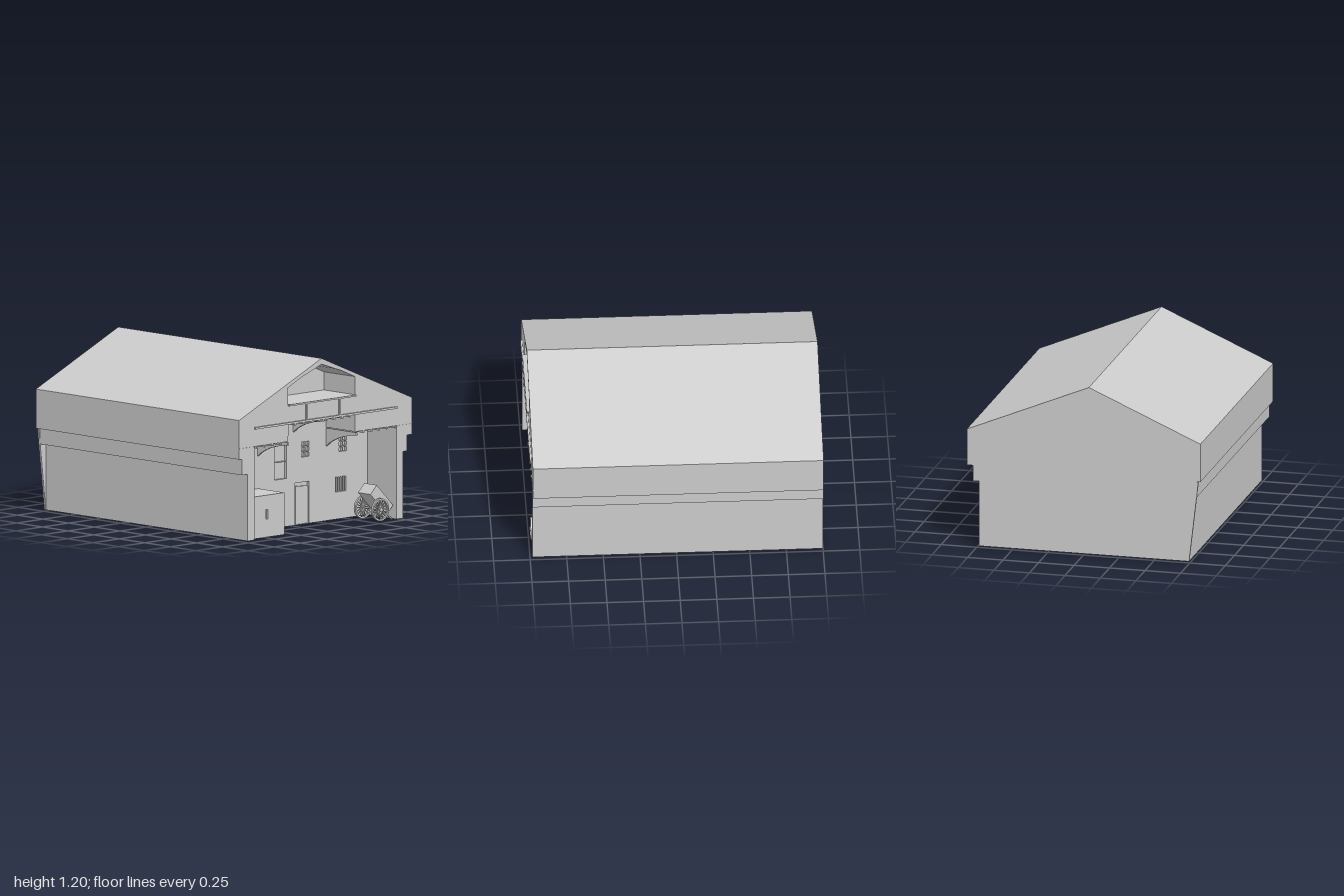
import * as THREE from 'three';

const mat = new THREE.MeshStandardMaterial({ color: 0xcccccc, side: THREE.DoubleSide });

const WALL = 0.70;   // front of the recessed wall
const FRONT = 0.985; // front of the gable facade
const BASE = 0.015;

export function createModel() {
  const model = new THREE.Group();

  function add(name, geo, parent = model) {
    const m = new THREE.Mesh(geo, mat);
    m.name = name;
    parent.add(m);
    return m;
  }
  // Box given by its extents
  function box(name, x0, x1, y0, y1, z0, z1, parent = model) {
    const m = add(name, new THREE.BoxGeometry(x1 - x0, y1 - y0, z1 - z0), parent);
    m.position.set((x0 + x1) / 2, (y0 + y1) / 2, (z0 + z1) / 2);
    return m;
  }
  const pts = (list) => list.map(([x, y]) => new THREE.Vector2(x, y));
  const rect = (x0, x1, y0, y1) => [[x0, y0], [x1, y0], [x1, y1], [x0, y1]];
  // Outline in x/y extruded from z0 to z1, with holes
  function slab(name, outline, z0, z1, holes = []) {
    const shape = new THREE.Shape(pts(outline));
    holes.forEach((h) => shape.holes.push(new THREE.Path(pts(h))));
    const geo = new THREE.ExtrudeGeometry(shape, { depth: z1 - z0, bevelEnabled: false });
    geo.translate(0, 0, z0);
    return add(name, geo);
  }

  // Main hall: stepped side walls under a gable roof
  const upper = [
    [0.735, BASE], [0.735, 0.475], [0.775, 0.475], [0.775, 0.585], [0.82, 0.585], [0.82, 0.84],
    [-0.04, 1.2], [-0.825, 0.855], [-0.825, 0.585], [-0.8, 0.585], [-0.8, 0.475], [-0.745, 0.475], [-0.745, BASE],
  ];
  slab('hall', upper, -1, 0.68);
  slab('rearWallFlare', [[-0.745, BASE], [-0.745, 0.58], [-0.81, 0.58]], -1, -0.985);

  // Front facade: stepped porch opening and gable loft recess
  const opening = [
    [-0.68, BASE], [-0.68, 0.66], [-0.36, 0.66], [-0.36, 0.695], [-0.35, 0.705], [-0.35, 0.78],
    [0.28, 0.78], [0.28, 0.66], [0.675, 0.66], [0.675, BASE],
  ];
  const loft = [[-0.36, 0.915], [0.28, 0.915], [0.28, 1.04], [0.14, 1.1], [0.09, 1.115],
    [-0.04, 1.16], [-0.17, 1.11], [-0.22, 1.095], [-0.36, 1.03]];
  slab('facade', [...upper, ...opening], 0.68, FRONT, [loft]);

  // Recessed wall with sunk windows, vent and door
  const holes = [];
  function panes(x0, x1, y0, y1, cols, rows, gap) {
    const w = (x1 - x0 - gap * (cols - 1)) / cols;
    const h = (y1 - y0 - gap * (rows - 1)) / rows;
    for (let c = 0; c < cols; c++) {
      for (let r = 0; r < rows; r++) {
        const x = x0 + c * (w + gap), y = y0 + r * (h + gap);
        holes.push(rect(x, x + w, y, y + h));
      }
    }
  }
  for (const x of [-0.508, 0.046, 0.404]) panes(x, x + 0.073, 0.478, 0.582, 2, 3, 0.008);
  panes(-0.212, -0.097, 0.347, 0.583, 1, 2, 0.004);
  panes(0.37, 0.473, 0.202, 0.305, 5, 1, 0.008);
  holes.push(rect(-0.015, 0.12, BASE + 0.002, 0.305));
  slab('porchWall', [[-0.68, BASE], [0.675, BASE], [0.675, 0.66], [0.28, 0.66], [0.28, 0.78],
    [-0.35, 0.78], [-0.35, 0.66], [-0.68, 0.66]], 0.68, WALL, holes);
  slab('door', [[0, BASE], [0.12, BASE], [0.12, 0.27], [0.1, 0.276], [0, 0.28]], 0.68, 0.69);

  // Shed in the corner of the porch, with a slot in its front
  slab('shed', rect(-0.68, -0.36, BASE, 0.305), WALL, 0.95, [rect(-0.535, -0.518, 0.14, 0.205)]);
  box('shedSlotBack', -0.54, -0.51, 0.135, 0.21, 0.92, 0.935);

  // Joists under the porch ceilings
  function joists(x0, count, y) {
    for (let i = 0; i < count; i++) {
      const x = x0 + i * 0.0745;
      box('joist', x - 0.007, x + 0.007, y - 0.014, y, WALL, 0.992);
    }
  }
  joists(-0.66, 4, 0.66);
  joists(-0.293, 8, 0.78);
  joists(0.355, 5, 0.66);

  // Diagonal braces from wall to facade
  for (const [x, y] of [[-0.367, 0.53], [-0.027, 0.66], [0.287, 0.53]]) {
    const s = new THREE.Shape();
    s.moveTo(WALL, y);
    s.quadraticCurveTo(0.8, y + 0.085, 0.995, y + 0.105);
    s.lineTo(0.995, y + 0.125);
    s.lineTo(WALL, y + 0.125);
    const geo = new THREE.ExtrudeGeometry(s, { depth: 0.014, bevelEnabled: false, curveSegments: 6 });
    geo.rotateY(-Math.PI / 2);
    geo.translate(x + 0.007, 0, 0);
    add('brace', geo);
  }

  // Facade beam, loft rail and posts
  box('facadeBeam', -0.68, 0.675, 0.779, 0.793, 0.98, 0.998);
  box('loftRail', -0.36, 0.28, 0.905, 0.916, 0.98, 1);
  for (const x of [-0.187, 0.129]) box('loftPost', x - 0.008, x + 0.008, 0.79, 0.91, 0.98, 0.995);
  box('sideLedge', -0.825, -0.68, 0.652, 0.66, 0.98, 0.988);
  box('sideLedge', 0.675, 0.82, 0.652, 0.66, 0.98, 0.988);

  // Footings under the floor
  box('footing', 0.21, 0.66, 0.004, 0.02, -0.225, -0.208);
  box('footing', -0.73, -0.22, 0.004, 0.02, -0.225, -0.208);
  box('footing', -0.73, 0.72, 0.006, 0.02, -0.645, -0.63);
  box('footing', 0.16, 0.175, 0.006, 0.02, -0.94, -0.63);
  box('footing', 0.315, 0.325, 0.011, 0.02, 0.15, 0.68);
  box('footing', -0.325, -0.315, 0.011, 0.02, 0.15, 0.68);

  // Hand cart: tipped tray, spoked wheels, axle and legs
  const cart = new THREE.Group();
  cart.name = 'handCart';
  model.add(cart);
  const tray = new THREE.Group();
  tray.name = 'cartTray';
  tray.position.set(0.562, 0.157, 0.895);
  tray.rotation.z = -Math.PI / 4;
  cart.add(tray);
  box('trayFloor', -0.11, 0.11, -0.042, -0.034, -0.06, 0.06, tray);
  for (const s of [-1, 1]) {
    box('traySide', -0.11, 0.11, -0.042, 0.042, s * 0.057 - 0.004, s * 0.057 + 0.004, tray);
    box('trayEnd', s * 0.107 - 0.003, s * 0.107 + 0.003, -0.042, 0.042, -0.06, 0.06, tray);
    const leg = box('cartLeg', -0.037, 0.037, -0.004, 0.004, -0.005, 0.005, cart);
    leg.position.set(0.638, 0.036, 0.895 + s * 0.05);
    leg.rotation.z = -0.74;
    const strut = box('cartStrut', -0.04, 0.04, -0.004, 0.004, -0.005, 0.005, cart);
    strut.position.set(0.64, 0.085, 0.895 + s * 0.05);
    strut.rotation.z = 0.72;

    const wheel = new THREE.Group();
    wheel.name = 'cartWheel';
    wheel.position.set(0.523, 0.096, 0.895 + s * 0.085);
    cart.add(wheel);
    const rim = new THREE.Shape().absarc(0, 0, 0.078, 0, Math.PI * 2);
    rim.holes.push(new THREE.Path().absarc(0, 0, 0.066, 0, Math.PI * 2));
    const rimGeo = new THREE.ExtrudeGeometry(rim, { depth: 0.016, bevelEnabled: false, curveSegments: 24 });
    rimGeo.translate(0, 0, -0.008);
    add('rim', rimGeo, wheel);
    add('hub', new THREE.CylinderGeometry(0.015, 0.015, 0.028, 16).rotateX(Math.PI / 2), wheel);
    for (let i = 0; i < 16; i++) {
      const spoke = new THREE.BoxGeometry(0.056, 0.006, 0.006);
      spoke.translate(0.04, 0, 0);
      spoke.rotateZ((i * Math.PI) / 8);
      add('spoke', spoke, wheel);
    }
  }
  const axle = add('axle', new THREE.CylinderGeometry(0.007, 0.007, 0.17, 10).rotateX(Math.PI / 2), cart);
  axle.position.set(0.523, 0.096, 0.895);

  return model;
}
